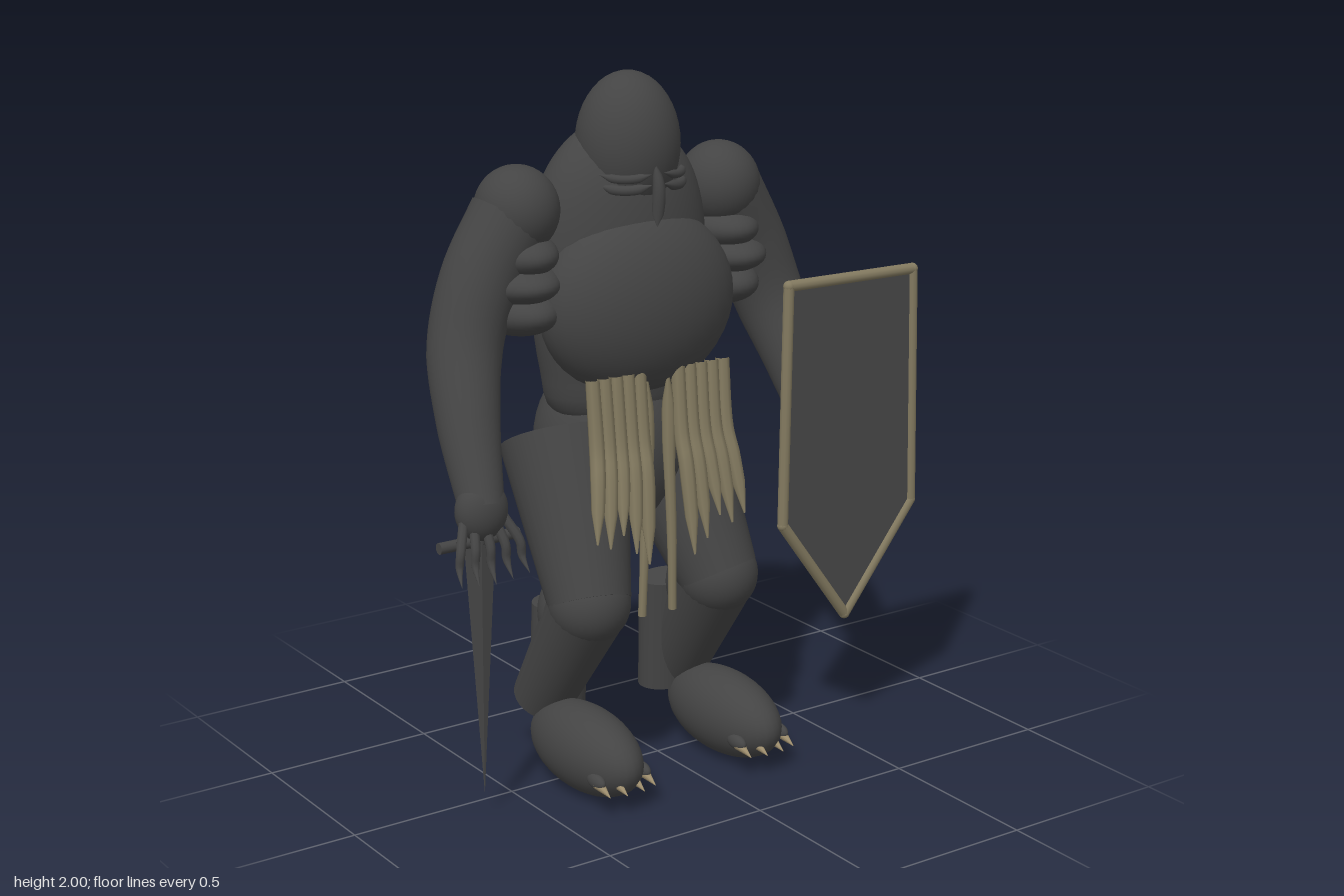
import * as THREE from 'three';

const CX = -0.07; // body's plane of symmetry
const V = (x, y, z) => new THREE.Vector3(x, y, z);

export function createModel() {
  const model = new THREE.Group();
  const mat = (name, color, side = THREE.FrontSide) => {
    const m = new THREE.MeshStandardMaterial({ color, side });
    m.name = name;
    return m;
  };
  const dark = mat('charcoal', 0x444444);
  const steel = mat('steel', 0x484848);
  const tan = mat('tan', 0x837a60);
  const claw = mat('claw', 0x9c8c6c);

  const add = (parent, name, geo, material) => {
    const m = new THREE.Mesh(geo, material);
    m.name = name;
    parent.add(m);
    return m;
  };
  const ball = (parent, name, p, r, material = dark) => {
    const m = add(parent, name, new THREE.SphereGeometry(1, 32, 22), material);
    m.position.set(...p);
    m.scale.set(...r);
    return m;
  };
  // Capped, tapered cylinder between two points
  const beam = (parent, name, a, b, ra, rb, material = dark, sides = 28) => {
    const p = V(...a), q = V(...b), d = q.clone().sub(p);
    const m = add(parent, name, new THREE.CylinderGeometry(rb, ra, d.length(), sides), material);
    m.position.copy(p).add(q).multiplyScalar(0.5);
    m.quaternion.setFromUnitVectors(V(0, 1, 0), d.normalize());
    return m;
  };
  // Tube whose radius follows a list along its length
  const limb = (parent, name, pts, radii, material = dark, seg = 28, sides = 24) => {
    const curve = new THREE.CatmullRomCurve3(pts.map(p => V(...p)));
    const geo = new THREE.TubeGeometry(curve, seg, 1, sides);
    const pos = geo.attributes.position, v = V(0, 0, 0);
    for (let i = 0; i <= seg; i++) {
      const c = curve.getPointAt(i / seg), t = (i / seg) * (radii.length - 1);
      const k = Math.min(Math.floor(t), radii.length - 2);
      const r = THREE.MathUtils.lerp(radii[k], radii[k + 1], t - k);
      for (let j = 0; j <= sides; j++) {
        const n = i * (sides + 1) + j;
        v.fromBufferAttribute(pos, n).sub(c).multiplyScalar(r).add(c);
        pos.setXYZ(n, v.x, v.y, v.z);
      }
    }
    return add(parent, name, geo, material);
  };

  // Trunk
  const profile = [[0, 1.02], [0.2, 1.05], [0.245, 1.18], [0.268, 1.35], [0.27, 1.5], [0.258, 1.62],
    [0.225, 1.72], [0.165, 1.8], [0.09, 1.85], [0, 1.87]];
  const spline = new THREE.SplineCurve(profile.map(p => new THREE.Vector2(...p)));
  const trunkPts = spline.getPoints(36);
  trunkPts.forEach(p => { p.x = Math.max(0, p.x); });
  const trunk = add(model, 'trunk', new THREE.LatheGeometry(trunkPts, 40), dark);
  trunk.position.set(CX, 0, -0.09);
  trunk.scale.z = 0.65;
  ball(model, 'belly', [CX, 1.37, 0], [0.306, 0.265, 0.172]);
  ball(model, 'hips', [CX, 0.945, -0.12], [0.235, 0.265, 0.213]);

  // Head with brow guard and nose guard
  ball(model, 'head', [CX, 1.8, -0.042], [0.146, 0.2, 0.143]);
  for (const s of [-1, 1]) {
    for (const [y, r] of [[1.738, 0.012], [1.708, 0.014]]) {
      const pts = [0.12, 0.45, 0.8, 1.15].map((a, i) =>
        [CX + s * 0.148 * Math.sin(a), y - 0.012 * Math.sin(i), -0.042 + 0.148 * Math.cos(a)]);
      limb(model, 'browGuard', pts, [0, r, r, r, 0], dark, 16, 10);
    }
  }
  limb(model, 'noseGuard', [[CX, 1.765, 0.09], [CX, 1.7, 0.108], [CX, 1.59, 0.1]],
    [0, 0.014, 0.018, 0.018, 0.016, 0], dark, 16, 12);

  // Paired parts; s = -1 is the model's right, +1 its left
  for (const s of [-1, 1]) {
    const side = new THREE.Group();
    side.name = s < 0 ? 'rightSide' : 'leftSide';
    side.position.x = CX;
    model.add(side);
    const at = (x, y, z) => [s * x, y, z];

    // Arm
    ball(side, 'shoulder', at(0.335, 1.648, -0.08), [0.116, 0.122, 0.122]);
    limb(side, 'arm', [at(0.35, 1.63, -0.085), at(0.445, 1.47, -0.09), at(0.51, 1.3, -0.07),
      at(0.55, 1.12, 0.005), at(0.575, 0.9, 0.11)], [0.115, 0.11, 0.102, 0.084, 0.062]);
    for (const [x, y, rx, ry, rz] of [[0.335, 1.528, 0.108, 0.066, 0.17], [0.345, 1.452, 0.122, 0.062, 0.185],
      [0.335, 1.37, 0.11, 0.07, 0.172]])
      ball(side, 'armPlate', at(x, y, -0.11), [rx, ry, rz]);

    // Hand and clawed fingers
    ball(side, 'hand', at(0.576, 0.895, 0.11), [0.076, 0.085, 0.058]);
    for (let i = 0; i < 5; i++) {
      const o = (i - 2) * 0.044, mid = 1 - Math.abs(i - 2) / 2;
      limb(side, 'finger', [at(0.576 + o * 0.7, 0.87, 0.12), at(0.576 + o * 1.05, 0.8, 0.155),
        at(0.576 + o * 1.1, 0.76, 0.155), at(0.576 + o * 1.2, 0.715 - 0.012 * mid, 0.182)],
        [0.014, 0.014, 0.012, 0], dark, 14, 8);
    }

    // Leg
    beam(side, 'thigh', at(0.158, 0.965, -0.135), at(0.22, 0.55, 0.088), 0.183, 0.117);
    ball(side, 'knee', at(0.22, 0.55, 0.085), [0.117, 0.117, 0.117]);
    ball(side, 'calf', at(0.22, 0.5, 0.0), [0.1, 0.13, 0.1]);
    beam(side, 'shin', at(0.22, 0.55, 0.085), at(0.235, 0.2, -0.14), 0.115, 0.088);
    const greave = beam(side, 'greave', at(0.19, 0.155, -0.135), at(0.185, 0.49, -0.115), 0.086, 0.09);
    greave.scale.z = 0.76;

    // Foot and toes
    ball(side, 'foot', at(0.24, 0.125, 0.095), [0.109, 0.123, 0.24]);
    for (const o of [-0.075, -0.028, 0.028, 0.075]) {
      const z = Math.abs(o) > 0.05 ? -0.015 : 0;
      ball(side, 'toe', at(0.24 + o, 0.1, 0.275 + z), [0.018, 0.022, 0.04]);
      beam(side, 'toeClaw', at(0.24 + o, 0.095, 0.285 + z), at(0.24 + o, 0.075, 0.345 + z), 0.017, 0.001, claw, 12);
    }

    // Skirt strips: long one inside, flared ones outside
    limb(side, 'longStrip', [at(0.036, 1.19, 0.1), at(0.036, 0.95, 0.105), at(0.046, 0.7, 0.105), at(0.052, 0.48, 0.1)],
      [0, 0.019, 0.019, 0.016, 0.015, 0.014, 0.012, 0.012], tan, 24, 8);
    for (let i = 0; i < 5; i++) {
      const x = 0.065 + i * 0.038, end = [0.66, 0.7, 0.76, 0.73, 0.75][i];
      const strip = limb(side, 'skirtStrip', [at(x, 1.195, 0.105), at(x, 1.0, 0.125), at(x + 0.002 + i * 0.002, 0.92, 0.145),
        at(x + 0.012 + i * 0.005, end, 0.175)], [0.02, 0.021, 0.022, 0.022, 0.019, 0.003], tan, 20, 8);
      strip.material = tan;
    }
  }

  // Sword, held in the right hand
  const sword = new THREE.Group();
  sword.name = 'sword';
  sword.position.set(-0.647, 0, 0.1);
  model.add(sword);
  const blade = add(sword, 'blade', new THREE.ConeGeometry(0.05, 0.75, 4), steel);
  blade.geometry.rotateX(Math.PI);
  blade.geometry = blade.geometry.toNonIndexed();
  blade.geometry.computeVertexNormals();
  blade.position.y = 0.445;
  blade.scale.z = 0.2;
  beam(sword, 'crossguard', [-0.123, 0.805, -0.005], [0.123, 0.805, -0.005], 0.016, 0.016, dark, 12);
  beam(sword, 'grip', [0, 0.8, 0], [0, 0.95, 0], 0.016, 0.016, dark, 12);

  // Shield
  const shield = new THREE.Group();
  shield.name = 'shield';
  shield.position.z = 0.218;
  model.add(shield);
  const outline = [[0.292, 1.4], [0.737, 1.394], [0.752, 0.697], [0.513, 0.39], [0.282, 0.703]];
  const shape = new THREE.Shape(outline.map(p => new THREE.Vector2(...p)));
  const panel = add(shield, 'shieldPanel', new THREE.ExtrudeGeometry(shape, { depth: 0.012, bevelEnabled: false }), steel);
  panel.position.z = -0.006;
  outline.forEach((p, i) => {
    const q = outline[(i + 1) % outline.length];
    beam(shield, 'shieldRim', [...p, 0], [...q, 0], 0.016, 0.016, tan, 10);
    ball(shield, 'shieldRimCorner', [...p, 0], [0.016, 0.016, 0.016], tan);
  });

  return model;
}
